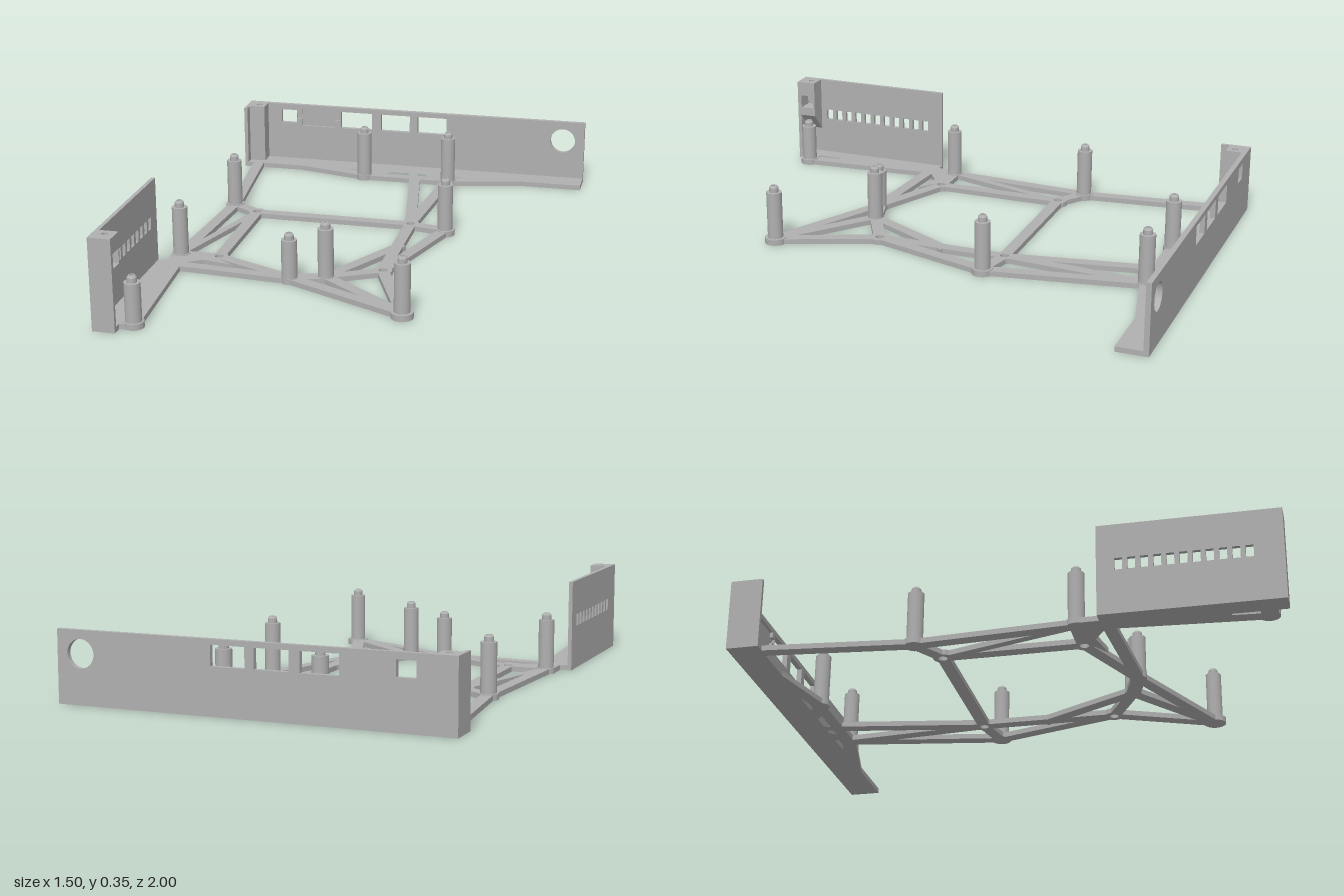
import * as THREE from 'three';

const T = 0.02; // floor thickness

export function createModel() {
  const group = new THREE.Group();
  group.name = 'mountingFrame';
  const grey = new THREE.MeshStandardMaterial({ color: 0xb0b0b0 });
  grey.name = 'plain grey';

  const add = (name, geo, x = 0, y = 0, z = 0) => {
    const m = new THREE.Mesh(geo, grey);
    m.name = name;
    m.position.set(x, y, z);
    group.add(m);
    return m;
  };
  const box = (name, x0, x1, y0, y1, z0, z1) =>
    add(name, new THREE.BoxGeometry(x1 - x0, y1 - y0, z1 - z0), (x0 + x1) / 2, (y0 + y1) / 2, (z0 + z1) / 2);
  const poly = (pts) => pts.map(([a, b]) => new THREE.Vector2(a, b));
  const rect = (a0, a1, b0, b1) => poly([[a0, b0], [a1, b0], [a1, b1], [a0, b1]]);
  const circle = (x, y, r) => new THREE.Path().absarc(x, y, r, 0, Math.PI * 2, true).getPoints(24);
  const extrude = (pts, holes, depth) => {
    const s = new THREE.Shape(pts);
    s.holes = holes.map((h) => new THREE.Path(h));
    return new THREE.ExtrudeGeometry(s, { depth, bevelEnabled: false });
  };
  // flat slab drawn in x and z, rising from y0 to y1
  const slab = (name, pts, holes, y0, y1) => {
    const flip = (l) => l.map((p) => new THREE.Vector2(p.x, -p.y));
    return add(name, extrude(flip(pts), holes.map(flip), y1 - y0).rotateX(-Math.PI / 2), 0, y0, 0);
  };

  // back wall: thin outer skin plus inner layer with a shallow pocket
  const openings = [
    rect(-0.605, -0.535, 0.185, 0.245),
    rect(-0.333, -0.19, 0.175, 0.25),
    rect(-0.15, -0.02, 0.175, 0.25),
    rect(0.015, 0.145, 0.175, 0.25),
    circle(0.657, 0.185, 0.053),
  ];
  const pocket = poly([
    [-0.51, 0.175], [-0.36, 0.175], [-0.36, 0.207], [-0.335, 0.207], [-0.335, 0.23], [-0.36, 0.23],
    [-0.36, 0.25], [-0.51, 0.25], [-0.51, 0.23], [-0.533, 0.23], [-0.533, 0.207], [-0.51, 0.207],
  ]);
  const wall = rect(-0.75, 0.75, 0, 0.27);
  add('backWallSkin', extrude(wall, openings, 0.008), 0, 0, -1);
  add('backWallInner', extrude(wall, [...openings, pocket], 0.012), 0, 0, -0.992);

  // back floor flange with slits
  slab('backFlange',
    poly([[-0.75, -0.99], [0.75, -0.99], [0.75, -0.88], [0.5, -0.88], [0.2, -0.81], [-0.2, -0.81], [-0.49, -0.88], [-0.75, -0.88]]),
    [
      poly([[-0.28, -0.88], [-0.165, -0.88], [-0.18, -0.865], [-0.225, -0.865]]),
      poly([[-0.075, -0.88], [0, -0.88], [0.005, -0.855], [-0.1, -0.855]]),
      poly([[0.04, -0.88], [0.07, -0.88], [0.09, -0.855], [0.045, -0.855]]),
      poly([[0.14, -0.88], [0.25, -0.88], [0.2, -0.865], [0.15, -0.865]]),
    ], 0, T);

  // back corner post
  slab('backPost', rect(-0.75, -0.667, -0.985, -0.915), [circle(-0.698, -0.947, 0.012)], 0, 0.27);
  box('backPostWing', -0.75, -0.735, 0, 0.27, -0.985, -0.88);

  // slotted side wall
  const slots = [];
  for (let i = 0; i < 11; i++) {
    const z = 0.88 - i * 0.0457;
    slots.push(rect(z - 0.014, z + 0.014, 0.17, 0.215));
  }
  add('sideWall', extrude(rect(0.345, 1, 0, 0.35), slots, 0.015).rotateY(-Math.PI / 2), -0.73, 0, 0);
  box('sideWallEnd', -0.745, -0.66, 0, 0.35, 0.985, 1);
  slab('sideFlange', rect(-0.745, -0.66, 0.345, 1), [], 0, T);

  // side boss with a nut pocket, screw hole and sloped underside
  const bossHole = [circle(-0.698, 0.95, 0.012)];
  slab('bossBase', rect(-0.745, -0.66, 0.92, 0.99), [], 0.2, 0.235);
  slab('bossPocket', poly([[-0.745, 0.92], [-0.66, 0.92], [-0.66, 0.927], [-0.725, 0.927],
    [-0.725, 0.983], [-0.66, 0.983], [-0.66, 0.99], [-0.745, 0.99]]), [], 0.235, 0.29);
  slab('bossTop', rect(-0.745, -0.66, 0.92, 0.99), bossHole, 0.29, 0.35);
  add('bossSlope', extrude(poly([[-0.745, 0.11], [-0.66, 0.2], [-0.745, 0.2]]), [], 0.07), 0, 0, 0.92);

  // stand-off posts: x, z, foot radius, shoulder height
  const posts = {
    A: [-0.19, -0.83, 0.034, 0.21], B: [0.18, -0.83, 0.034, 0.21],
    C: [-0.63, -0.335, 0.038, 0.21], D: [0.28, -0.225, 0.04, 0.21],
    E: [-0.667, 0.26, 0.036, 0.21], F: [-0.063, 0.365, 0.032, 0.21],
    G: [-0.193, 0.405, 0.032, 0.17], H: [0.285, 0.637, 0.042, 0.21],
    I: [-0.616, 0.928, 0.038, 0.17],
  };
  for (const [x, z, foot, h] of Object.values(posts)) {
    const profile = poly([[0, 0], [foot, 0], [foot, T + 0.003], [0.03, T + 0.003], [0.03, h], [0.018, h],
      [0.018, h + 0.018], [0.012, h + 0.026], [0.008, h + 0.026], [0.008, h - 0.01], [0, h - 0.01]]);
    // each segment is its own ring so edges stay crisp
    for (let i = 0; i + 1 < profile.length; i++)
      add('standoff', new THREE.LatheGeometry([profile[i], profile[i + 1]], 24), x, 0, z);
  }

  // screw-hole joints of the central rectangle
  const joints = { P: [-0.513, -0.26], Q: [0.132, -0.26], R: [-0.513, 0.26], S: [0.132, 0.26] };
  for (const [x, z] of Object.values(joints))
    slab('joint', circle(x, z, 0.036), [circle(x, z, 0.017)], 0, T);

  // floor struts between posts, joints and free points
  const nodes = {
    ...posts, ...joints,
    backCorner: [-0.69, -0.9], flangeMid: [0.035, -0.83], rightRail: [0.145, -0.02],
    sideStart: [-0.655, 0.37],
  };
  const strut = (a, b, w = 0.046) => {
    const trim = (k) => (k in joints ? 0.023 : 0);
    const [ax, az] = nodes[a], [bx, bz] = nodes[b];
    const len = Math.hypot(bx - ax, bz - az), ux = (bx - ax) / len, uz = (bz - az) / len;
    const s = trim(a), e = len - trim(b), mid = (s + e) / 2;
    const m = add('strut', new THREE.BoxGeometry(e - s, T, w), ax + ux * mid, T / 2, az + uz * mid);
    m.rotation.y = -Math.atan2(uz, ux);
  };
  [['P', 'Q'], ['P', 'R'], ['Q', 'S'], ['backCorner', 'C'], ['C', 'E'], ['C', 'P'], ['E', 'P', 0.03],
    ['E', 'R', 0.05], ['R', 'G'], ['sideStart', 'G'], ['B', 'Q'], ['flangeMid', 'Q'], ['B', 'D'], ['D', 'Q'],
    ['D', 'S'], ['rightRail', 'F'], ['S', 'F'], ['S', 'H'], ['F', 'H'], ['G', 'H'], ['G', 'F', 0.055],
    ['E', 'sideStart', 0.06], ['sideStart', 'I', 0.05]].forEach((s) => strut(...s));

  // gussets filling the floor near the side wall
  slab('sideGusset', poly([[-0.7, 0.26], [-0.64, 0.26], [-0.57, 0.31], [-0.62, 0.35], [-0.63, 0.42],
    [-0.625, 0.8], [-0.665, 0.8], [-0.7, 0.4]]), [], 0, T);
  slab('sideBrace', poly([[-0.64, 0.27], [-0.53, 0.275], [-0.44, 0.335], [-0.56, 0.31], [-0.62, 0.35]]), [], 0, T);
  box('sideTab', -0.67, -0.616, 0, T, 0.9, 0.96);

  return group;
}
